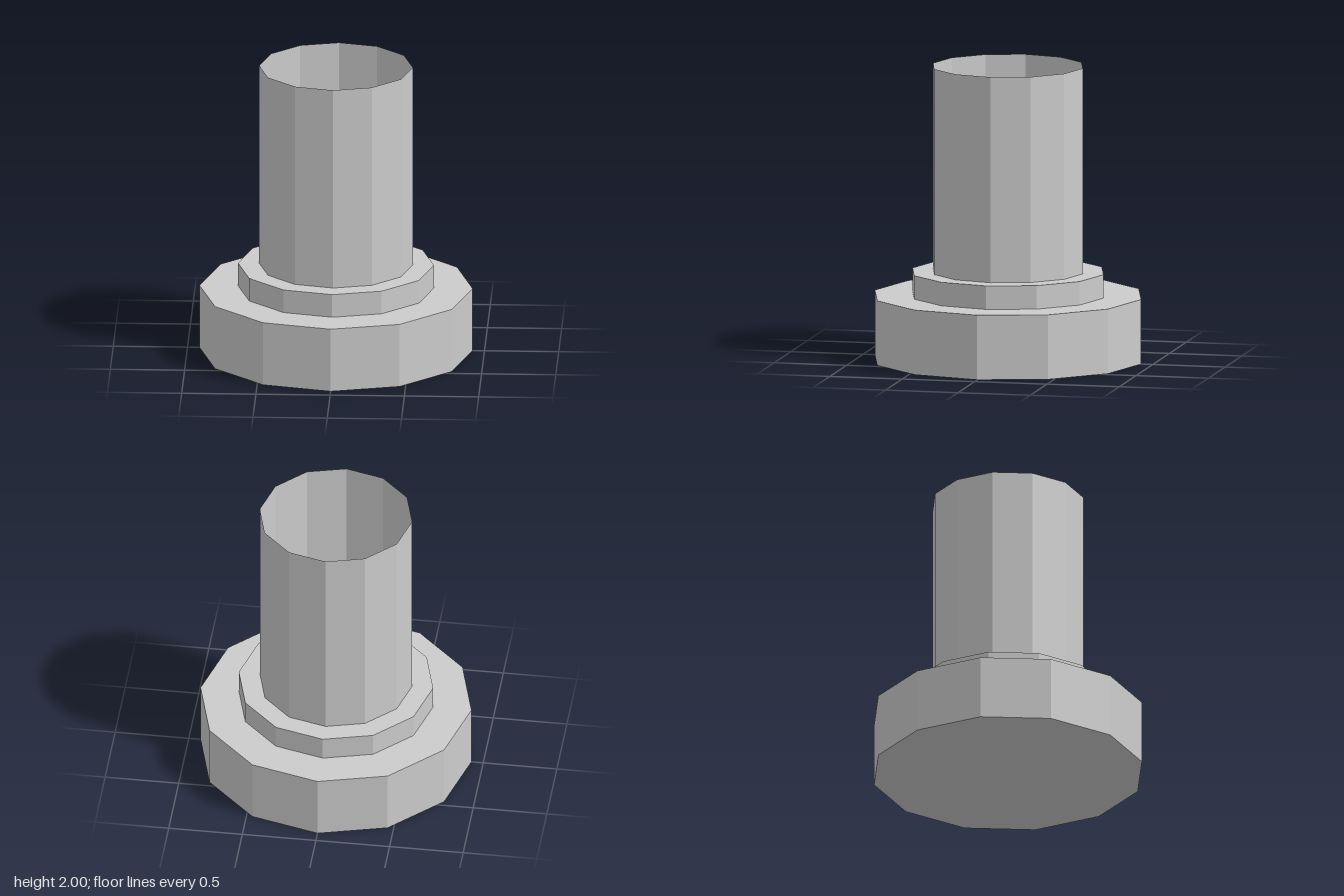
import * as THREE from 'three';

const SIDES = 12;

export function createModel() {
  const model = new THREE.Group();
  const grey = new THREE.MeshStandardMaterial({ color: 0xcccccc, flatShading: true });
  grey.name = 'grey';
  const openGrey = new THREE.MeshStandardMaterial({ color: 0xcccccc, flatShading: true, side: THREE.DoubleSide });
  openGrey.name = 'greyDoubleSided';

  // Upright twelve-sided drum between two heights, optionally without end caps
  function drum(name, radius, bottom, top, open = false) {
    const geometry = new THREE.CylinderGeometry(radius, radius, top - bottom, SIDES, 1, open);
    const mesh = new THREE.Mesh(geometry, open ? openGrey : grey);
    mesh.name = name;
    mesh.position.y = (bottom + top) / 2;
    model.add(mesh);
  }

  drum('base', 0.92, 0, 0.44);
  drum('collar', 0.66, 0.44, 0.6);
  // Thin-walled open pipe standing on the collar
  drum('pipe', 0.517, 0.6, 2, true);

  return model;
}
